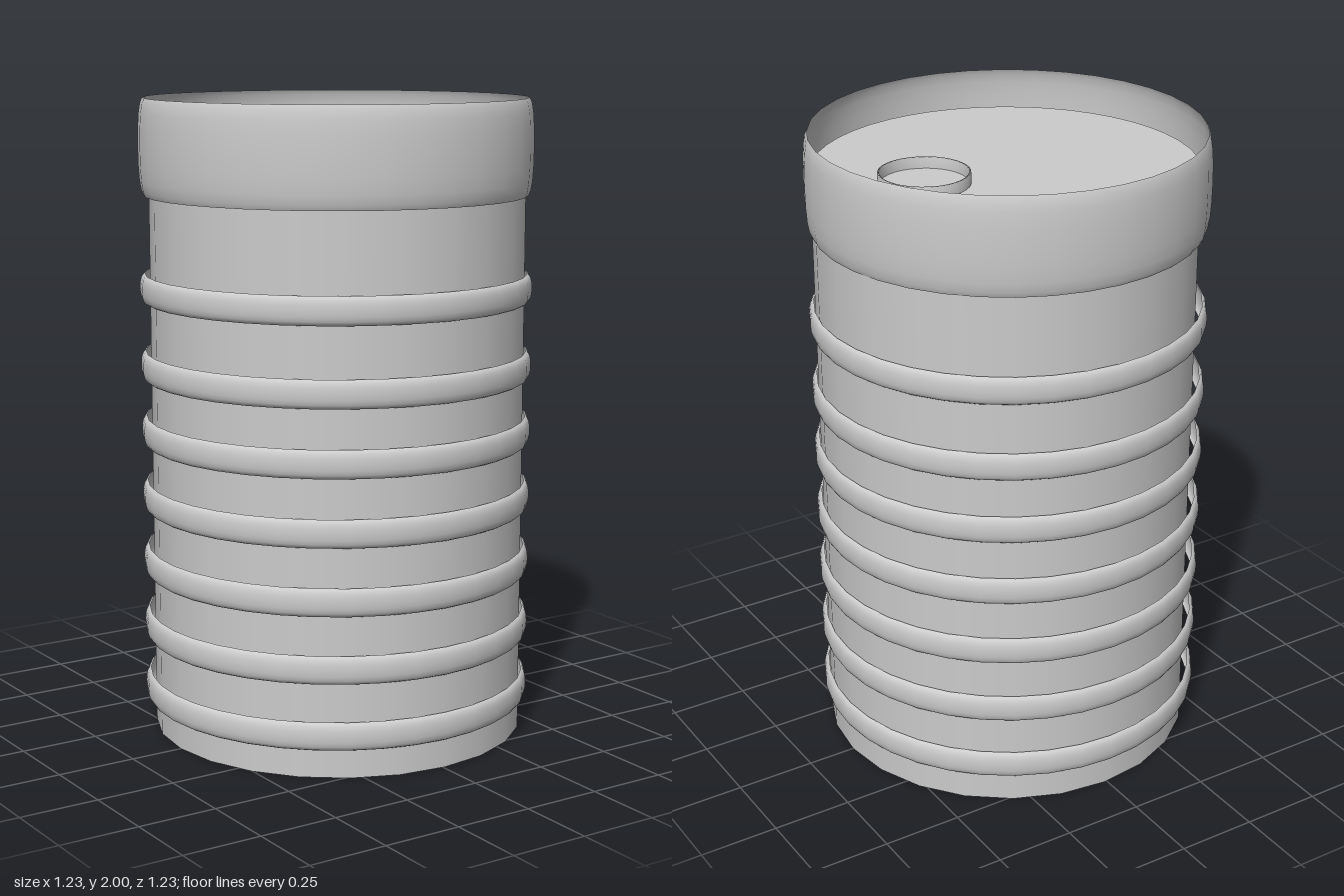
import * as THREE from 'three';

const material = new THREE.MeshStandardMaterial({ color: 0xcccccc, side: THREE.DoubleSide });

function add(parent, name, geometry, x = 0, y = 0, z = 0) {
  const mesh = new THREE.Mesh(geometry, material);
  mesh.name = name;
  mesh.position.set(x, y, z);
  parent.add(mesh);
  return mesh;
}

// Thin hoop whose wall bulges outward between its two edges
function bulgedBand(height) {
  const profile = [
    [0.598, -1], [0.605, -0.9], [0.61, -0.7], [0.613, -0.4], [0.614, 0],
    [0.613, 0.4], [0.61, 0.7], [0.605, 0.9], [0.598, 1],
  ].map(([r, t]) => new THREE.Vector2(r, t * height / 2));
  return new THREE.LatheGeometry(profile, 36);
}

export function createModel() {
  const model = new THREE.Group();
  model.name = 'ribbedBarrel';

  // Open-bottomed barrel wall, set very slightly to one side
  const bodyHeight = 1.88;
  add(model, 'body', new THREE.CylinderGeometry(0.588, 0.588, bodyHeight, 24, 1, true),
    0.007, bodyHeight / 2);

  // Recessed flat lid
  const lid = add(model, 'lid', new THREE.CircleGeometry(0.588, 48), 0.007, bodyHeight);
  lid.rotation.x = -Math.PI / 2;

  // Deep collar around the lid
  add(model, 'collar', bulgedBand(0.3), 0, 1.85);

  // Ribs up the wall
  const ribs = new THREE.Group();
  ribs.name = 'ribs';
  model.add(ribs);
  const ribHeights = [0.135, 0.34, 0.547, 0.755, 0.963, 1.17, 1.413];
  for (const y of ribHeights) add(ribs, 'rib', bulgedBand(0.087), 0, y);

  // Thin raised spout ring on the lid
  const spout = [[0.132, 0], [0.132, 0.035], [0.138, 0.035], [0.138, 0]]
    .map(([r, y]) => new THREE.Vector2(r, y));
  add(model, 'spoutRing', new THREE.LatheGeometry(spout, 32), 0.29, bodyHeight);

  return model;
}
